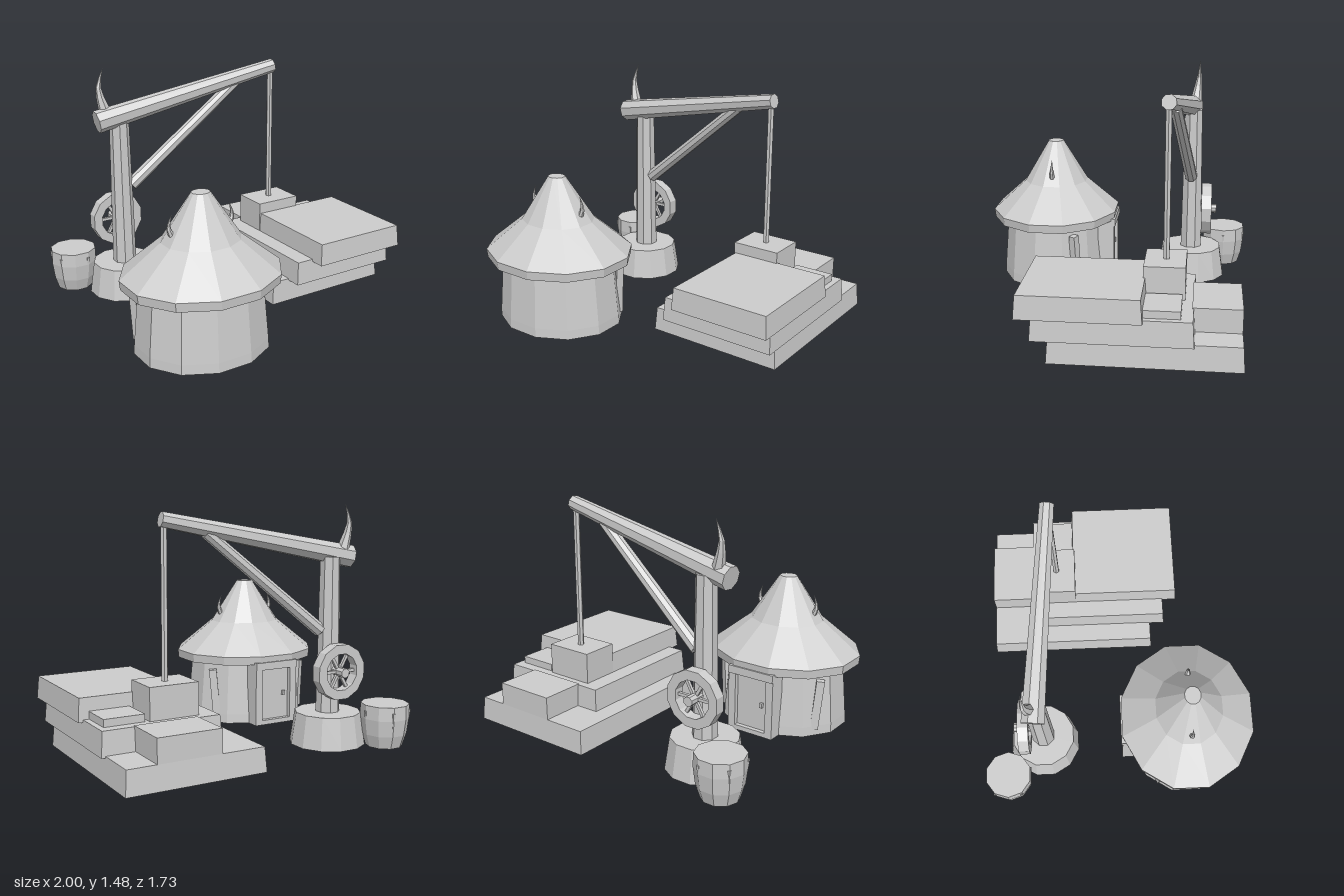
import * as THREE from 'three';

const stone = new THREE.MeshStandardMaterial({ color: 0xcccccc });
stone.name = 'plain grey';
stone.flatShading = true;
stone.side = THREE.DoubleSide;

const V = (x, y, z) => new THREE.Vector3(x, y, z);

function add(parent, name, geometry, x = 0, y = 0, z = 0) {
  const mesh = new THREE.Mesh(geometry, stone);
  mesh.name = name;
  mesh.position.set(x, y, z);
  parent.add(mesh);
  return mesh;
}

// Faceted turned shape from [radius, height] pairs, with a flat side facing z
function turned(profile, sides) {
  const points = profile.map(([r, y]) => new THREE.Vector2(r, y));
  return new THREE.LatheGeometry(points, sides, Math.PI / sides);
}

// Open-bottomed block between two corners, flared slightly at the foot
function block(parent, name, x0, x1, y0, y1, z0, z1, flare = 0) {
  const g = new THREE.BoxGeometry(x1 - x0, y1 - y0, z1 - z0);
  const p = g.attributes.position;
  for (let i = 0; i < p.count; i++) {
    if (p.getY(i) > 0) continue;
    p.setX(i, p.getX(i) + Math.sign(p.getX(i)) * flare);
    p.setZ(i, p.getZ(i) + Math.sign(p.getZ(i)) * flare);
  }
  g.setIndex(Array.from(g.index.array).filter((_, i) => i < 18 || i >= 24));
  return add(parent, name, g, (x0 + x1) / 2, (y0 + y1) / 2, (z0 + z1) / 2);
}

// Tapered log between two points
function log(parent, name, a, b, ra, rb, sides = 8) {
  const dir = b.clone().sub(a);
  const g = new THREE.CylinderGeometry(rb, ra, dir.length(), sides, 1, false, Math.PI / sides);
  const mesh = add(parent, name, g);
  mesh.position.copy(a).add(b).multiplyScalar(0.5);
  mesh.quaternion.setFromUnitVectors(V(0, 1, 0), dir.normalize());
  return mesh;
}

// Curved horn: a tube whose rings shrink to a tip
function horn(parent, name, points, radius) {
  const curve = new THREE.CatmullRomCurve3(points);
  const rings = 5, sides = 6;
  const g = new THREE.TubeGeometry(curve, rings, radius, sides);
  const p = g.attributes.position;
  const v = V(0, 0, 0);
  for (let i = 0; i < p.count; i++) {
    const t = Math.floor(i / (sides + 1)) / rings;
    v.fromBufferAttribute(p, i).lerp(curve.getPointAt(t), t);
    p.setXYZ(i, v.x, v.y, v.z);
  }
  return add(parent, name, g);
}

function createHut() {
  const hut = new THREE.Group();
  hut.name = 'hut';
  const cx = -0.532, cz = 0.447, squash = 0.893;

  add(hut, 'hutWall', turned([[0.414, 0], [0.411, 0.06], [0.378, 0.42]], 12), cx, 0, cz).scale.z = squash;
  add(hut, 'roof', turned(
    [[0.378, 0.41], [0.479, 0.41], [0.485, 0.465], [0.24, 0.66], [0.056, 0.935], [0, 0.935]], 12
  ), cx, 0, cz).scale.z = squash;

  // Door and frame on the back wall
  block(hut, 'doorPanel', cx - 0.12, cx + 0.12, 0.02, 0.39, 0.06, 0.12);
  for (const s of [-1, 1]) block(hut, 'doorJamb', cx + s * 0.135 - 0.025, cx + s * 0.135 + 0.025, 0, 0.4, 0.03, 0.14);
  block(hut, 'doorLintel', cx - 0.16, cx + 0.16, 0.375, 0.425, 0.022, 0.14);
  block(hut, 'doorSill', cx - 0.15, cx + 0.15, 0, 0.03, 0.03, 0.12);
  add(hut, 'doorKnob', new THREE.BoxGeometry(0.018, 0.03, 0.02), cx - 0.07, 0.2, 0.052);

  for (const s of [-1, 1]) {
    // Upright timber on the wall
    const holder = new THREE.Group();
    holder.name = 'wallTimberHolder';
    holder.position.set(cx + s * 0.337, 0.2, cz - 0.174);
    holder.rotation.y = s * Math.PI / 3;
    add(holder, 'wallTimber', new THREE.BoxGeometry(0.045, 0.32, 0.05)).rotation.x = 0.09;
    hut.add(holder);
    // Roof horn
    horn(hut, 'roofHorn', [
      V(cx + s * 0.17, 0.70, cz), V(cx + s * 0.2, 0.73, cz),
      V(cx + s * 0.205, 0.78, cz), V(cx + s * 0.185, 0.84, cz)
    ], 0.023);
  }
  return hut;
}

function createCrane() {
  const crane = new THREE.Group();
  crane.name = 'crane';
  const px = -0.565, pz = -0.492;

  add(crane, 'craneFoot', turned([[0.235, 0], [0.205, 0.2], [0, 0.2]], 12), px, 0, pz);
  log(crane, 'cranePost', V(px, 0.15, pz), V(px, 1.16, pz), 0.076, 0.062);
  log(crane, 'craneBeam', V(-0.72, 1.155, -0.485), V(0.525, 1.4, -0.37), 0.072, 0.046);
  log(crane, 'craneBrace', V(-0.5, 0.71, -0.485), V(0.25, 1.32, -0.4), 0.042, 0.036);
  log(crane, 'rope', V(0.505, 0.46, -0.37), V(0.505, 1.4, -0.37), 0.02, 0.02, 6);
  horn(crane, 'beamHorn', [
    V(-0.645, 1.18, -0.5), V(-0.665, 1.26, -0.51), V(-0.682, 1.36, -0.522), V(-0.645, 1.48, -0.525)
  ], 0.042);

  // Winding wheel behind the post
  const wheel = new THREE.Group();
  wheel.name = 'wheel';
  wheel.position.set(-0.568, 0.465, -0.594);
  const rim = turned([[0.115, -0.034], [0.174, -0.034], [0.174, 0.034], [0.115, 0.034], [0.115, -0.034]], 12);
  add(wheel, 'wheelRim', rim).rotation.x = Math.PI / 2;
  for (let i = 0; i < 6; i++) {
    const a = i * Math.PI / 3;
    log(wheel, 'wheelSpoke', V(0, 0, 0), V(Math.cos(a) * 0.125, Math.sin(a) * 0.125, 0), 0.013, 0.013, 4);
  }
  log(wheel, 'wheelAxle', V(0, 0, 0.06), V(0, 0, -0.068), 0.03, 0.03);
  crane.add(wheel);
  return crane;
}

function createBarrel() {
  const barrel = new THREE.Group();
  barrel.name = 'barrel';
  barrel.position.set(-0.832, 0, -0.72);
  add(barrel, 'barrelBody', turned(
    [[0, 0], [0.112, 0], [0.137, 0.08], [0.15, 0.18], [0.148, 0.265], [0, 0.265]], 10
  ));
  // Thin splints around the side
  for (let i = 0; i < 5; i++) {
    const a = i * Math.PI * 0.4 + 0.3;
    const at = (r, y) => V(Math.sin(a) * r, y, Math.cos(a) * r);
    log(barrel, 'barrelSplint', at(0.13, 0.08), at(0.147, 0.23), 0.005, 0.011, 4);
  }
  return barrel;
}

function createBlocks() {
  const pile = new THREE.Group();
  pile.name = 'steppedBlocks';
  block(pile, 'lowerSlab', 0.108, 0.952, 0, 0.147, -0.815, 0.262, 0.01);
  block(pile, 'middleSlab', 0.236, 0.966, 0.137, 0.285, -0.538, 0.35, 0.01);
  block(pile, 'upperSlab', 0.357, 0.985, 0.27, 0.41, -0.256, 0.432, 0.01);
  block(pile, 'backBlock', 0.38, 0.775, 0.137, 0.29, -0.815, -0.53);
  block(pile, 'hoistedBlock', 0.347, 0.658, 0.275, 0.48, -0.487, -0.245);
  block(pile, 'sideBlock', 0.68, 0.93, 0.275, 0.33, -0.472, -0.25);
  return pile;
}

export function createModel() {
  const model = new THREE.Group();
  model.name = 'buildingYard';
  model.add(createHut(), createCrane(), createBarrel(), createBlocks());
  return model;
}
